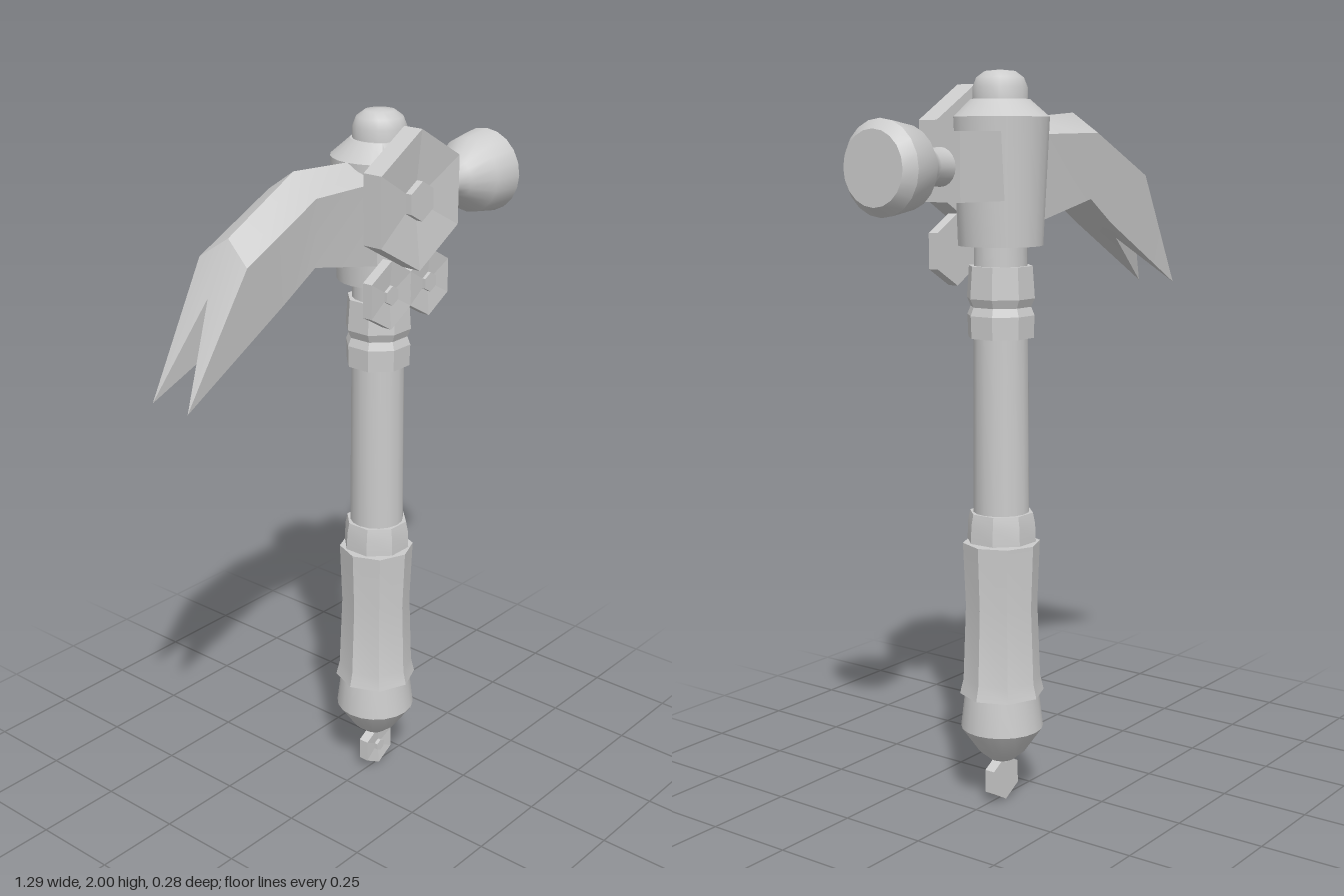
import * as THREE from 'three';
import { toCreasedNormals } from 'three/addons/utils/BufferGeometryUtils.js';

const AX = 0.14, AZ = -0.008; // handle axis
const mat = new THREE.MeshStandardMaterial({ color: 0xcccccc });

function add(parent, name, geometry, crease = 0.65) {
  const mesh = new THREE.Mesh(toCreasedNormals(geometry, crease), mat);
  mesh.name = name;
  parent.add(mesh);
  return mesh;
}

// Profile of [radius, height], listed bottom to top
function lathe(profile, sides) {
  return new THREE.LatheGeometry(profile.map(([r, y]) => new THREE.Vector2(r, y)), sides);
}

// Part turned around the handle axis
function turned(parent, name, profile, sides, crease, turn = 0) {
  const mesh = add(parent, name, lathe(profile, sides).rotateY(turn), crease);
  mesh.position.set(AX, 0, AZ);
  return mesh;
}

// Hexagonal plate with a dished front and a small hexagonal nut
function hexPlate(name, x, y, z, radius, depth, dish, nutRadius, nutDepth) {
  const plate = new THREE.Group();
  plate.name = name;
  const body = lathe([[0, 0], [radius, 0], [radius, depth], [0, depth - dish]], 6);
  add(plate, 'plateBody', body.rotateX(Math.PI / 2), 0.03);
  const nut = lathe([[0, 0], [nutRadius, 0], [nutRadius, nutDepth], [0, nutDepth]], 6);
  add(plate, 'nut', nut.rotateX(Math.PI / 2), 0.03);
  plate.position.set(x, y, z);
  return plate;
}

// Curved, ridged claw that splits into two prongs
function clawGeometry() {
  // Each section: ridge, shoulder, lower edge and keel as [x, y, half width]
  const sections = [
    [[0.1, 1.875, 0], [0.1, 1.835, 0.08], [0.1, 1.6, 0.07], [0.1, 1.58, 0]],
    [[-0.195, 1.895, 0], [-0.2, 1.84, 0.08], [-0.19, 1.66, 0.065], [-0.19, 1.665, 0]],
    [[-0.43, 1.775, 0], [-0.45, 1.72, 0.08], [-0.3, 1.59, 0.06], [-0.3, 1.6, 0]],
  ];
  const tip = [-0.645, 1.4, 0.06], notchTop = [-0.505, 1.644, 0], notchLow = [-0.42, 1.54, 0];
  const tris = [];
  for (let s = 0; s < 2; s++) {
    for (let i = 0; i < 3; i++) {
      const a = sections[s][i], b = sections[s][i + 1];
      const c = sections[s + 1][i + 1], d = sections[s + 1][i];
      tris.push([a, d, c], [a, c, b]);
    }
  }
  const [ridge, shoulder, lower, keel] = sections[2];
  tris.push([ridge, tip, shoulder], [ridge, notchTop, tip], [shoulder, tip, lower],
    [lower, tip, notchLow], [lower, notchLow, keel], [notchTop, notchLow, tip]);
  const positions = [];
  for (const side of [1, -1]) {
    for (const [a, b, c] of tris) {
      for (const p of side > 0 ? [a, b, c] : [a, c, b]) {
        positions.push(p[0], p[1], AZ + side * p[2]);
      }
    }
  }
  const g = new THREE.BufferGeometry();
  g.setAttribute('position', new THREE.Float32BufferAttribute(positions, 3));
  g.computeVertexNormals();
  return g;
}

// Tapered block between the head and the striking face
function blockGeometry() {
  const g = new THREE.BoxGeometry(0.2, 0.175, 0.166);
  const p = g.attributes.position;
  for (let i = 0; i < p.count; i++) if (p.getX(i) > 0) p.setZ(i, p.getZ(i) * 0.76);
  return g.translate(0.29, 1.755, AZ);
}

export function createModel() {
  const model = new THREE.Group();
  model.name = 'clawHammer';

  // Handle
  const handle = new THREE.Group();
  handle.name = 'handle';
  model.add(handle);
  turned(handle, 'pommel', [[0, 0.125], [0.035, 0.125], [0.065, 0.15], [0.114, 0.22],
    [0.102, 0.32], [0, 0.32]], 20);
  turned(handle, 'grip', [[0, 0.318], [0.117, 0.318], [0.107, 0.36], [0.099, 0.57],
    [0.106, 0.745], [0, 0.745]], 8, 0.3);
  turned(handle, 'gripCollar', [[0, 0.74], [0.096, 0.75], [0.094, 0.8], [0.088, 0.83], [0, 0.83]],
    8, 0.3, Math.PI / 8);
  turned(handle, 'shaft', [[0, 0.8], [0.076, 0.8], [0.073, 1.32], [0.071, 1.57], [0, 1.57]], 16);
  turned(handle, 'lowerCollar', [[0, 1.305], [0.09, 1.305], [0.092, 1.365], [0.082, 1.39], [0, 1.39]],
    8, 0.3, Math.PI / 8);
  turned(handle, 'upperCollar', [[0, 1.385], [0.082, 1.385], [0.093, 1.41], [0.087, 1.495], [0, 1.495]],
    8, 0.3, Math.PI / 8);

  // Head barrel, flattened where the plates sit
  const head = new THREE.Group();
  head.name = 'head';
  model.add(head);
  const barrel = lathe([[0, 1.548], [0.113, 1.548], [0.13, 1.88], [0.078, 1.925], [0, 1.925]], 24);
  const bp = barrel.attributes.position;
  for (let i = 0; i < bp.count; i++) bp.setZ(i, Math.min(bp.getZ(i), 0.083));
  add(head, 'barrel', barrel).position.set(AX, 0, AZ);
  turned(head, 'cap', [[0, 1.91], [0.072, 1.91], [0.072, 1.955], [0.062, 1.98], [0.04, 1.996], [0, 2]], 20);

  // Claw, block and striking face
  add(head, 'claw', clawGeometry(), 0.5);
  add(head, 'faceBlock', blockGeometry(), 0.3);
  const face = lathe([[0, 0], [0.05, 0], [0.046, 0.06], [0.06, 0.09], [0.105, 0.15],
    [0.118, 0.235], [0.093, 0.264], [0, 0.264]], 20);
  add(head, 'strikingFace', face.rotateZ(-Math.PI / 2)).position.set(0.38, 1.755, AZ);

  // Hexagonal plates
  model.add(hexPlate('largePlate', AX, 1.778, 0.073, 0.187, 0.059, 0.02, 0.053, 0.064));
  for (const side of [-1, 1]) {
    model.add(hexPlate('smallPlate', AX + side * 0.081, 1.537, 0.073, 0.094, 0.03, 0.008, 0.027, 0.034));
  }
  model.add(hexPlate('pommelTag', AX, 0.068, -0.021, 0.064, 0.03, 0.006, 0.018, 0.036));
  // Stem joining the tag to the pommel
  turned(handle, 'tagStem', [[0, 0.11], [0.014, 0.11], [0.014, 0.14], [0, 0.14]], 8);

  // Rest the model exactly on the ground
  model.position.y = -new THREE.Box3().setFromObject(model).min.y;
  return model;
}
